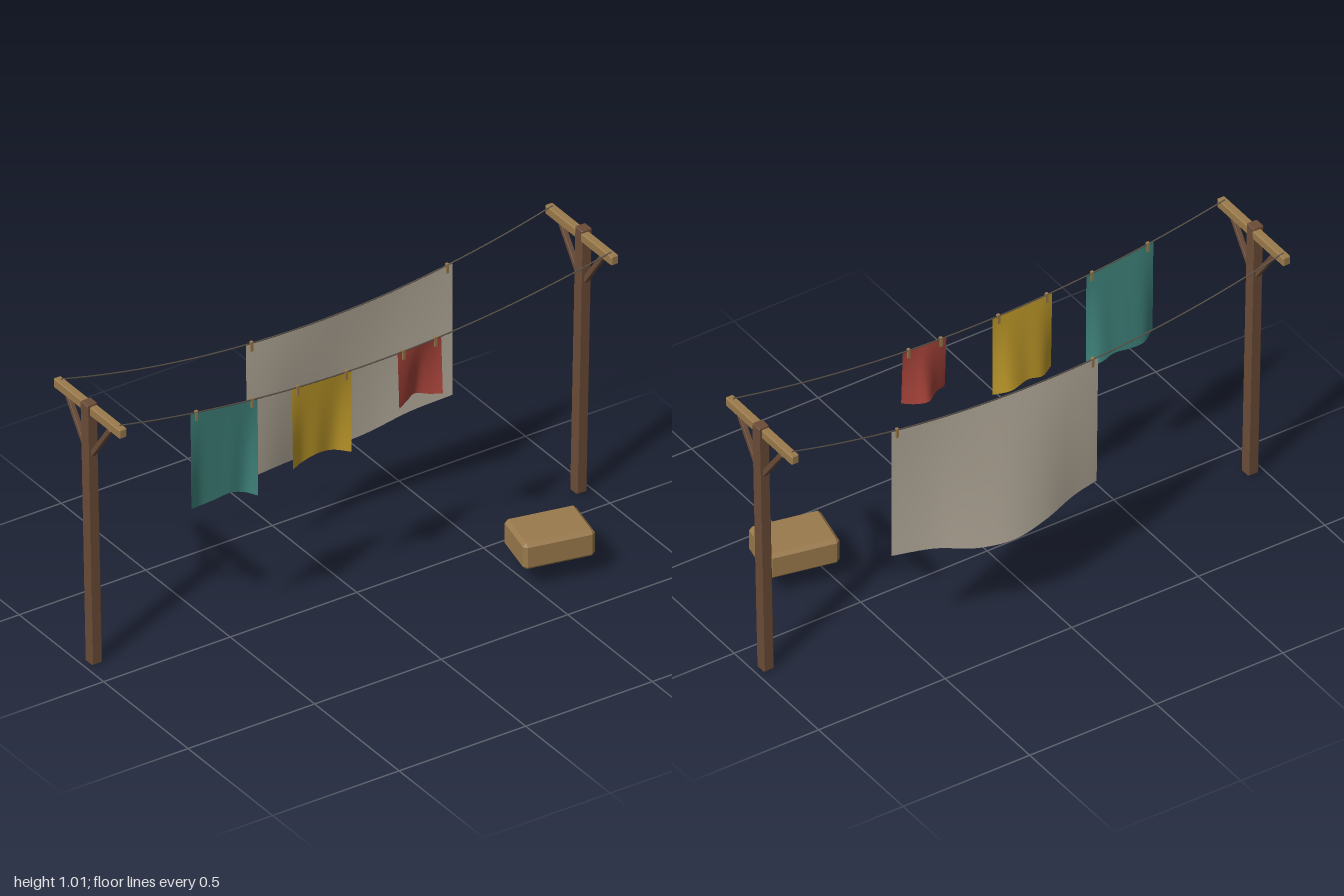
import * as THREE from 'three';
import { ConvexGeometry } from 'three/addons/geometries/ConvexGeometry.js';

const mat = (name, color, side = THREE.FrontSide) => {
  const m = new THREE.MeshStandardMaterial({ color, side });
  m.name = name;
  return m;
};

// Box with flat chamfers on every edge
function chamferBox(w, h, d, c) {
  const pts = [];
  for (const sx of [-1, 1]) for (const sy of [-1, 1]) for (const sz of [-1, 1]) {
    const x = w / 2, y = h / 2, z = d / 2;
    pts.push(new THREE.Vector3(sx * x, sy * (y - c), sz * (z - c)));
    pts.push(new THREE.Vector3(sx * (x - c), sy * y, sz * (z - c)));
    pts.push(new THREE.Vector3(sx * (x - c), sy * (y - c), sz * z));
  }
  return new ConvexGeometry(pts);
}

export function createModel() {
  const model = new THREE.Group();
  model.name = 'clothesline';

  const darkWood = mat('dark wood', 0x6b4c38);
  const lightWood = mat('light wood', 0x9a7a4c);
  const ropeMat = mat('rope', 0x5a5248);
  const teal = mat('teal cloth', 0x41877f, THREE.DoubleSide);
  const yellow = mat('yellow cloth', 0xc29c2a, THREE.DoubleSide);
  const red = mat('red cloth', 0xa8443a, THREE.DoubleSide);
  const linen = mat('linen cloth', 0xbbb1a0, THREE.DoubleSide);

  const add = (name, geometry, material, x = 0, y = 0, z = 0, parent = model) => {
    const mesh = new THREE.Mesh(geometry, material);
    mesh.name = name;
    mesh.position.set(x, y, z);
    parent.add(mesh);
    return mesh;
  };

  // Two leaning posts, each with a crossbeam and two diagonal braces
  const postZ = -0.122;
  for (const s of [-1, 1]) {
    const frame = new THREE.Group();
    frame.name = s > 0 ? 'leftFrame' : 'rightFrame';
    model.add(frame);
    const post = add('post', chamferBox(0.042, 1.014, 0.042, 0.004), darkWood, s * 0.967, 0.508, postZ, frame);
    post.rotation.z = -s * 0.02;
    add('crossbeam', chamferBox(0.03, 0.036, 0.394, 0.004), lightWood, s * 0.971, 0.988, -0.123, frame);
    for (const side of [-1, 1]) {
      const brace = add('brace', chamferBox(0.018, 0.19, 0.018, 0.002), darkWood,
        s * 0.973, 0.893, postZ + side * 0.07, frame);
      brace.rotation.x = side * Math.atan2(0.105, 0.145);
    }
  }

  // Sagging ropes
  const ropes = {
    front: { z: 0.05, y: x => 0.905 + 0.103 * (x / 0.972) ** 2 },
    back: { z: -0.297, y: x => 0.88 + 0.128 * (x / 0.972) ** 2 },
  };
  for (const [name, rope] of Object.entries(ropes)) {
    const pts = [];
    for (let i = 0; i <= 16; i++) {
      const x = -0.972 + (i / 16) * 1.944;
      pts.push(new THREE.Vector3(x, rope.y(x), rope.z));
    }
    add(name + 'Rope', new THREE.TubeGeometry(new THREE.CatmullRomCurve3(pts), 48, 0.0025, 6), ropeMat);
  }

  // Cloth spans from its rope down to a wavy hem, held by two pegs
  function cloth(name, material, rope, hem) {
    const group = new THREE.Group();
    group.name = name;
    model.add(group);
    const curve = new THREE.CatmullRomCurve3(hem.map(p => new THREE.Vector3(...p)));
    const geo = new THREE.PlaneGeometry(1, 1, 32, 14);
    const pos = geo.attributes.position;
    for (let i = 0; i < pos.count; i++) {
      const low = curve.getPoint(pos.getX(i) + 0.5);
      const top = new THREE.Vector3(low.x, rope.y(low.x) - 0.002, rope.z);
      top.lerp(low, 0.5 - pos.getY(i));
      pos.setXYZ(i, top.x, top.y, top.z);
    }
    geo.computeVertexNormals();
    add(name + 'Panel', geo, material, 0, 0, 0, group);
    for (const x of [hem[0][0] + 0.022, hem[hem.length - 1][0] - 0.022]) {
      add('peg', new THREE.BoxGeometry(0.01, 0.036, 0.01), lightWood, x, rope.y(x) - 0.011, rope.z, group);
    }
  }
  cloth('tealTowel', teal, ropes.front, [
    [-0.69, 0.59, 0.055], [-0.64, 0.573, 0.03], [-0.58, 0.574, 0.027],
    [-0.52, 0.58, 0.028], [-0.465, 0.564, 0.027], [-0.425, 0.55, 0.053]]);
  cloth('yellowTowel', yellow, ropes.front, [
    [-0.29, 0.605, 0.057], [-0.24, 0.602, 0.031], [-0.18, 0.614, 0.029],
    [-0.11, 0.602, 0.021], [-0.055, 0.59, 0.05]]);
  cloth('redTowel', red, ropes.front, [
    [0.128, 0.697, 0.06], [0.17, 0.706, 0.043], [0.222, 0.702, 0.013],
    [0.262, 0.696, 0.033], [0.30, 0.698, 0.06]]);
  cloth('linenSheet', linen, ropes.back, [
    [-0.24, 0.372, -0.288], [-0.14, 0.366, -0.306], [0, 0.345, -0.343], [0.13, 0.33, -0.358],
    [0.27, 0.345, -0.346], [0.42, 0.39, -0.319], [0.577, 0.412, -0.298]]);

  // Chamfered basket block
  const basket = add('basket', chamferBox(0.255, 0.102, 0.186, 0.013), lightWood, 0.602, 0.13, 0.24);
  basket.rotation.y = -0.21;

  return model;
}
